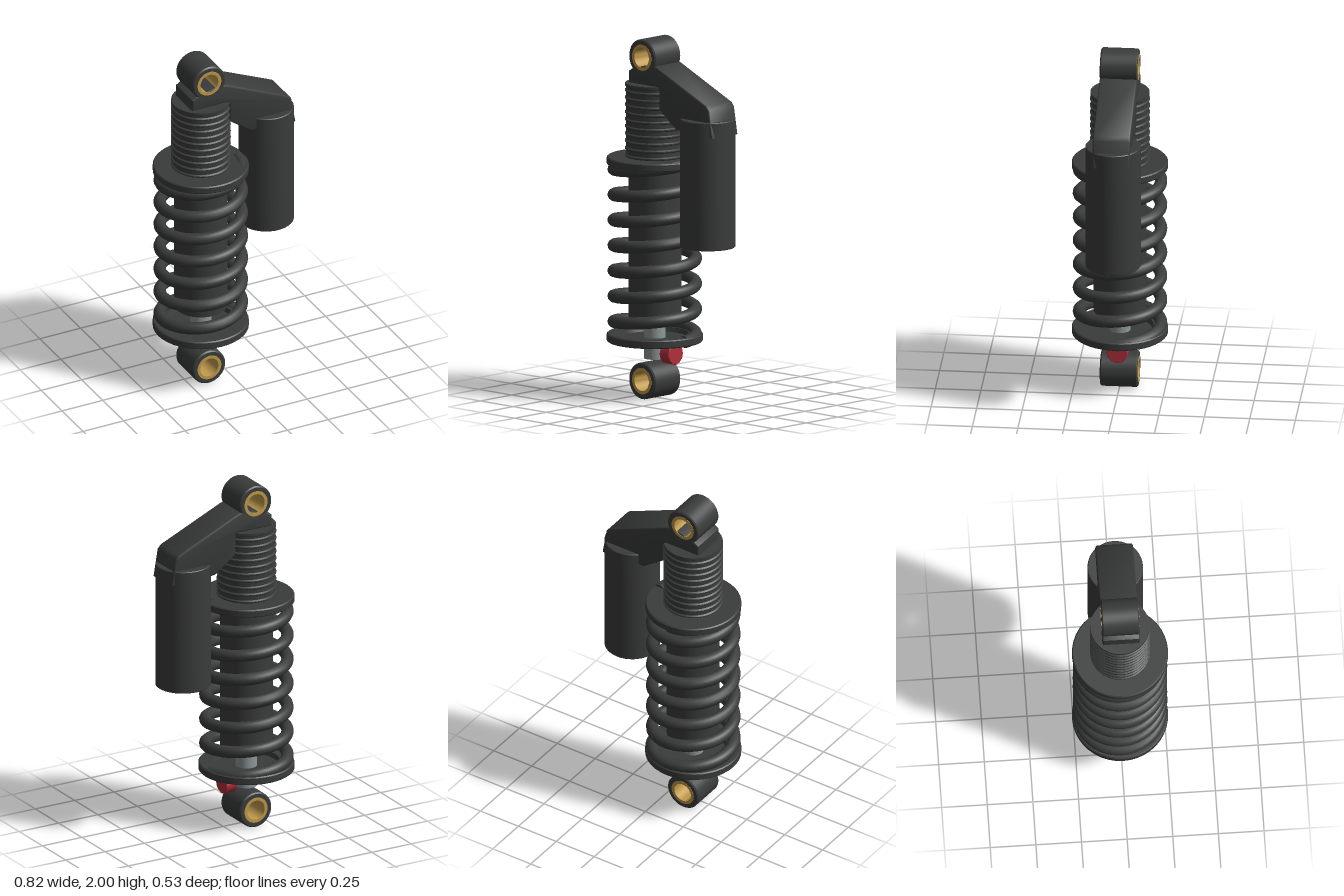
import * as THREE from 'three';
import { toCreasedNormals } from 'three/addons/utils/BufferGeometryUtils.js';

const AXIS = -0.147; // x of the damper's centre line
const RES_X = 0.255; // x of the reservoir's centre line

const mat = (color) => new THREE.MeshStandardMaterial({ color });
const dark = mat(0x3a3c3b);
const steel = mat(0x8f9899);
const gold = mat(0xc09a4c);
const red = mat(0xb4303a);

// Helical centre line of the spring: seven turns, rising anticlockwise
class Helix extends THREE.Curve {
  getPoint(u, target = new THREE.Vector3()) {
    const t = Math.PI * (-1 + 14 * u);
    return target.set(-0.225 * Math.cos(t), 0.405 + (0.141 * t) / (2 * Math.PI), 0.225 * Math.sin(t));
  }
}

export function createModel() {
  const group = new THREE.Group();

  const add = (name, geometry, material, x = 0, y = 0, z = 0) => {
    const mesh = new THREE.Mesh(geometry, material);
    mesh.name = name;
    mesh.position.set(x, y, z);
    group.add(mesh);
    return mesh;
  };

  // Turned part from a [radius, height] profile, sharp edges kept
  const turned = (profile, segments = 40) =>
    toCreasedNormals(
      new THREE.LatheGeometry(profile.map(([r, y]) => new THREE.Vector2(r, y)), segments),
      0.6
    );

  // Mounting eyes with their bushings, bored along z
  for (const [prefix, y] of [['upper', 1.9], ['lower', 0.103]]) {
    const eye = turned([
      [0.072, -0.103], [0.094, -0.103], [0.101, -0.096], [0.101, 0.096],
      [0.094, 0.103], [0.072, 0.103], [0.072, -0.103],
    ]).rotateX(Math.PI / 2);
    add(prefix + 'Eye', eye, dark, AXIS, y);
    const bushing = turned([
      [0.055, -0.104], [0.073, -0.104], [0.073, 0.104], [0.055, 0.104], [0.055, -0.104],
    ]).rotateX(Math.PI / 2);
    add(prefix + 'Bushing', bushing, gold, AXIS, y);
  }

  // Damper body: plain tube
  add('damperBody', turned([[0, 0.45], [0.145, 0.45], [0.145, 1.32], [0, 1.32]]), dark, AXIS);

  // Threaded upper sleeve
  const thread = [[0, 1.28], [0.156, 1.28]];
  for (let i = 0; i < 11; i++) {
    const y = 1.3 + i * 0.04;
    thread.push([0.156, y], [0.164, y + 0.006], [0.164, y + 0.012], [0.156, y + 0.018]);
  }
  thread.push([0.156, 1.73], [0.162, 1.735], [0.162, 1.75], [0, 1.75]);
  add('threadedSleeve', turned(thread), dark, AXIS);

  // Spring perches: collar above, shallow dish below
  add('upperPerch', turned([
    [0.14, 1.297], [0.257, 1.297], [0.263, 1.303], [0.263, 1.335],
    [0.257, 1.341], [0.14, 1.341], [0.14, 1.297],
  ]), dark, AXIS);
  add('lowerPerch', turned([
    [0, 0.314], [0.257, 0.314], [0.263, 0.32], [0.263, 0.354],
    [0.257, 0.36], [0.185, 0.36], [0.175, 0.335], [0, 0.335],
  ]), dark, AXIS);

  // Coil spring with closed ends
  const helix = new Helix();
  add('coilSpring', new THREE.TubeGeometry(helix, 320, 0.034, 12, false), dark, AXIS);
  for (const u of [0, 1]) {
    const p = helix.getPoint(u);
    const cap = add('springEnd', new THREE.CircleGeometry(0.034, 12), dark, AXIS + p.x, p.y, p.z);
    const outward = helix.getTangent(u).multiplyScalar(u ? 1 : -1);
    cap.quaternion.setFromUnitVectors(new THREE.Vector3(0, 0, 1), outward);
  }

  // Piston shaft and rebound knob
  add('pistonShaft', new THREE.CylinderGeometry(0.059, 0.059, 0.28, 32), steel, AXIS, 0.358);
  const knob = turned([
    [0, -0.036], [0.055, -0.036], [0.059, -0.032], [0.059, 0.032], [0.055, 0.036], [0, 0.036],
  ], 12).rotateZ(Math.PI / 2);
  add('reboundKnob', knob, red, -0.022, 0.258);

  // Reservoir can
  add('reservoir', turned([
    [0, 0.888], [0.148, 0.888], [0.152, 0.892], [0.152, 1.596], [0.148, 1.6], [0, 1.6],
  ]), dark, RES_X);

  // Bridge joining the upper eye to the reservoir
  const bevel = 0.01;
  const outline = [
    [-0.24, 1.76], [-0.03, 1.76], [-0.01, 1.74], [-0.01, 1.63], [0.115, 1.54],
    [0.375, 1.525], [0.35, 1.665], [0.335, 1.683], [-0.045, 1.852], [-0.085, 1.857],
    [-0.215, 1.826], [-0.24, 1.81],
  ].map(([x, y]) => new THREE.Vector2(x, y));
  const bridge = new THREE.ExtrudeGeometry(new THREE.Shape(outline), {
    depth: 0.206 - 2 * bevel, bevelEnabled: true, bevelSize: bevel, bevelThickness: bevel, bevelSegments: 3,
  }).translate(0, 0, -0.103 + bevel);
  add('reservoirBridge', toCreasedNormals(bridge, 0.6), dark);

  return group;
}
